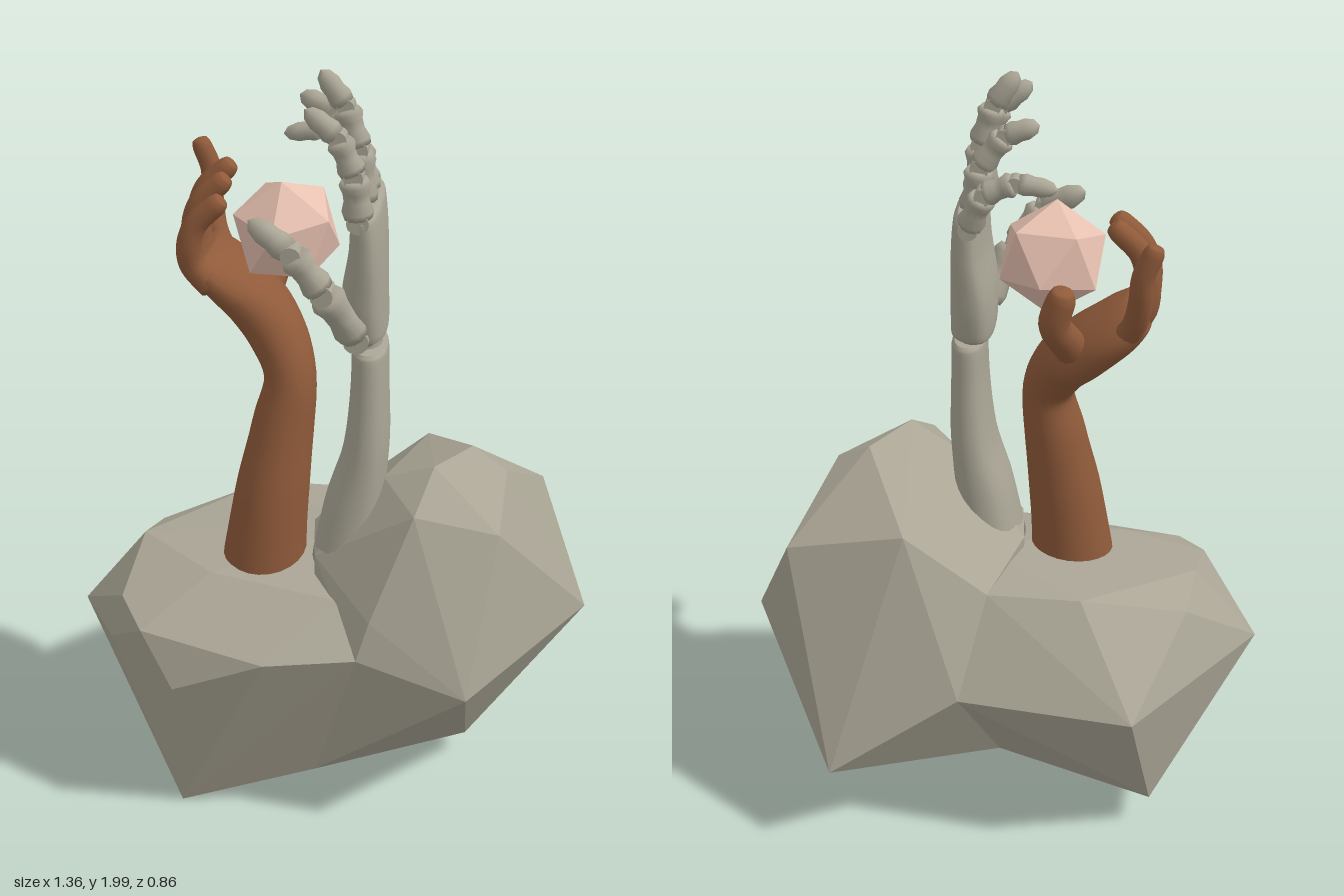
import * as THREE from 'three';
import { ConvexGeometry } from 'three/addons/geometries/ConvexGeometry.js';

const V = (p) => new THREE.Vector3(p[0], p[1], p[2]);
const stone = new THREE.MeshStandardMaterial({ color: 0xaaa595 });
const rockMat = new THREE.MeshStandardMaterial({ color: 0xaaa595, flatShading: true });
const skin = new THREE.MeshStandardMaterial({ color: 0x8f5a3a });
const pink = new THREE.MeshStandardMaterial({ color: 0xe6c0b0, flatShading: true });

function add(parent, name, geometry, material) {
  const mesh = new THREE.Mesh(geometry, material);
  mesh.name = name;
  parent.add(mesh);
  return mesh;
}

// Smooth skin over stations [x, y, z, thickness radius, width radius (along z)]; power < 1 squares the section
function loft(stations, sides = 16, power = 1) {
  const path = new THREE.CatmullRomCurve3(stations.map(V));
  const radii = new THREE.CatmullRomCurve3(stations.map((s) => V([s[3], s[4] ?? s[3], 0])), false, 'catmullrom', 0.35);
  const rings = (stations.length - 1) * 5;
  const pos = [], index = [];
  const bend = (v) => Math.sign(v) * Math.abs(v) ** power;
  for (let i = 0; i <= rings; i++) {
    const c = path.getPoint(i / rings), r = radii.getPoint(i / rings), t = path.getTangent(i / rings);
    const w = new THREE.Vector3(0, 0, 1).addScaledVector(t, -t.z).normalize();
    const u = w.clone().cross(t);
    for (let j = 0; j < sides; j++) {
      const a = (j / sides) * Math.PI * 2;
      const p = c.clone().addScaledVector(u, Math.max(r.x, 0.001) * bend(Math.cos(a)))
        .addScaledVector(w, Math.max(r.y, 0.001) * bend(Math.sin(a)));
      pos.push(p.x, p.y, p.z);
      if (i < rings) {
        const k = i * sides + j, n = i * sides + (j + 1) % sides;
        index.push(k, n, k + sides, n, n + sides, k + sides);
      }
    }
  }
  // end caps
  for (const [u, start] of [[0, 0], [1, rings * sides]]) {
    const c = path.getPoint(u), m = pos.length / 3;
    pos.push(c.x, c.y, c.z);
    for (let j = 0; j < sides; j++) {
      const k = start + j, n = start + (j + 1) % sides;
      if (u) index.push(m, k, n); else index.push(m, n, k);
    }
  }
  const g = new THREE.BufferGeometry();
  g.setAttribute('position', new THREE.Float32BufferAttribute(pos, 3));
  g.setIndex(index);
  g.computeVertexNormals();
  return g;
}

// Rounded finger along a path, tapering to a blunt tip
function softFinger(points, r) {
  const last = points.length - 1;
  const s = points.map((p, i) => [...p, r * (1 - 0.2 * i / last)]);
  const dir = V(points[last]).sub(V(points[last - 1])).normalize();
  for (const [d, k] of [[0.6, 0.6], [0.8, 0.05]]) {
    s.push([...V(points[last]).addScaledVector(dir, r * d).toArray(), r * k]);
  }
  return loft(s, 12);
}

// Jointed finger: a slightly waisted bone per span with a hinge pin between bones
function jointedFinger(parent, name, points, r) {
  const finger = new THREE.Group();
  finger.name = name;
  parent.add(finger);
  for (let i = 0; i < points.length - 1; i++) {
    const a = V(points[i]), b = V(points[i + 1]), dir = b.clone().sub(a), len = dir.length();
    const k = r * (1 - 0.12 * i), tip = i === points.length - 2;
    const profile = tip
      ? [[0, 0.06], [0.85, 0.08], [1, 0.25], [0.85, 0.45], [0.88, 0.65], [0.6, 0.9], [0, 1.03]]
      : [[0, 0.06], [0.9, 0.08], [1, 0.22], [0.8, 0.45], [0.82, 0.65], [1, 0.82], [0.8, 0.94], [0, 0.95]];
    const bone = add(finger, 'fingerBone', new THREE.LatheGeometry(
      profile.map(([x, y]) => new THREE.Vector2(x * k, y * len)), 12), stone);
    bone.position.copy(a);
    bone.quaternion.setFromUnitVectors(new THREE.Vector3(0, 1, 0), dir.normalize());
    const pin = add(finger, 'hingePin', new THREE.CylinderGeometry(k * 0.7, k * 0.7, k * 1.5, 12), stone);
    pin.position.copy(a);
    pin.rotation.x = Math.PI / 2;
  }
}

export function createModel() {
  const model = new THREE.Group();

  // Boulder: two faceted lumps sharing a ridge below and a saddle above
  const rock = new THREE.Group();
  rock.name = 'boulder';
  model.add(rock);
  const sharedRidge = [
    [-0.02, 0.12, 0.27], [0.0, 0.14, -0.12], [0.08, 0.48, -0.36], [0.10, 0.57, 0.395], [0.02, 0.72, -0.22],
  ];
  const leftLump = [
    [-0.38, 0.005, 0.30], [-0.42, 0.10, -0.23], [-0.68, 0.47, 0.04], [-0.37, 0.45, 0.405], [-0.37, 0.48, -0.41],
    [-0.575, 0.46, 0.20], [-0.53, 0.61, 0.23], [-0.46, 0.58, 0.34], [-0.51, 0.68, 0.02], [-0.49, 0.64, -0.12],
    [-0.30, 0.68, 0.20], [-0.22, 0.72, -0.22], [-0.13, 0.56, 0.43], [0.05, 0.67, 0.28], [0.06, 0.73, 0.0],
    [-0.15, 0.5, -0.36],
  ];
  const rightLump = [
    [0.37, 0.07, 0.0], [0.675, 0.51, -0.02], [0.38, 0.49, 0.42], [0.41, 0.27, -0.43], [0.545, 0.805, -0.19],
    [0.23, 0.89, -0.24], [0.27, 1.01, 0.16], [0.36, 1.0, 0.02], [0.45, 0.95, 0.05], [0.44, 0.87, 0.24],
    [0.23, 0.93, 0.28], [0.14, 0.95, 0.12], [-0.03, 0.74, 0.18], [-0.05, 0.75, 0.02], [0.13, 0.67, 0.37],
  ];
  add(rock, 'leftLump', new ConvexGeometry([...leftLump, ...sharedRidge].map(V)), rockMat);
  add(rock, 'rightLump', new ConvexGeometry([...rightLump, ...sharedRidge].map(V)), rockMat);

  // Soft arm with bent wrist and cupped palm
  const softArm = new THREE.Group();
  softArm.name = 'softArm';
  model.add(softArm);
  add(softArm, 'forearmAndPalm', loft([
    [-0.18, 0.62, 0.09, 0.113, 0.115], [-0.155, 0.85, 0.08, 0.097, 0.105], [-0.125, 1.05, 0.06, 0.08, 0.088],
    [-0.107, 1.19, 0.045, 0.066, 0.074], [-0.145, 1.285, 0.005, 0.074, 0.088], [-0.21, 1.36, -0.04, 0.07, 0.125],
    [-0.285, 1.425, -0.055, 0.06, 0.138], [-0.335, 1.47, -0.055, 0.042, 0.125], [-0.35, 1.487, -0.055, 0.004, 0.07],
  ], 24), skin);
  for (const [z0, z1, lift] of [[0.045, 0.068, -0.03], [-0.015, -0.005, 0], [-0.08, -0.085, 0.01]]) {
    add(softArm, 'curledFinger', softFinger([
      [-0.30, 1.42, z0], [-0.345, 1.48, (z0 + z1) / 2], [-0.35, 1.56 + lift, z1],
      [-0.33, 1.62 + lift, z1], [-0.28, 1.67 + lift, z1],
    ], 0.034), skin);
  }
  add(softArm, 'straightFinger', softFinger([
    [-0.28, 1.41, -0.13], [-0.325, 1.48, -0.175], [-0.34, 1.56, -0.21], [-0.345, 1.63, -0.225], [-0.365, 1.685, -0.225],
  ], 0.032), skin);
  add(softArm, 'thumb', softFinger([
    [-0.19, 1.35, -0.08], [-0.165, 1.42, -0.15], [-0.14, 1.485, -0.195], [-0.155, 1.55, -0.205],
  ], 0.044), skin);

  // Faceted ball held between the hands
  const ball = add(model, 'facetedBall', new THREE.IcosahedronGeometry(0.14, 0), pink);
  ball.position.set(-0.115, 1.565, 0.015);
  ball.rotation.set(0.25, 0.2, 0.6);

  // Jointed arm: forearm, wrist peg and flat palm
  const jointedArm = new THREE.Group();
  jointedArm.name = 'jointedArm';
  model.add(jointedArm);
  add(jointedArm, 'forearm', loft([
    [0.045, 0.7, 0.09, 0.09, 0.125], [0.062, 0.85, 0.09, 0.077, 0.115], [0.092, 1.02, 0.09, 0.058, 0.108],
    [0.1, 1.2, 0.09, 0.047, 0.1], [0.1, 1.3, 0.088, 0.044, 0.098], [0.1, 1.315, 0.088, 0.036, 0.09],
  ], 24, 0.85), stone);
  const peg = add(jointedArm, 'wristPeg', new THREE.CylinderGeometry(0.035, 0.035, 0.09, 16), stone);
  peg.position.set(0.095, 1.33, 0.09);
  peg.scale.z = 1.5;
  add(jointedArm, 'palm', loft([
    [0.09, 1.325, 0.075, 0.03, 0.08], [0.087, 1.345, 0.075, 0.054, 0.108], [0.085, 1.45, 0.075, 0.054, 0.132],
    [0.092, 1.57, 0.075, 0.043, 0.147], [0.09, 1.665, 0.075, 0.036, 0.155], [0.088, 1.685, 0.075, 0.024, 0.145],
  ], 28, 0.72), stone);

  // Fingers and thumb of the jointed hand
  jointedFinger(jointedArm, 'indexFinger', [[0.08, 1.67, 0.2], [0.07, 1.78, 0.21], [0.035, 1.87, 0.215], [-0.04, 1.932, 0.215]], 0.038);
  jointedFinger(jointedArm, 'middleFinger', [[0.08, 1.675, 0.11], [0.07, 1.81, 0.108], [0.04, 1.91, 0.105], [-0.018, 1.99, 0.105]], 0.039);
  jointedFinger(jointedArm, 'ringFinger', [[0.08, 1.67, 0.02], [0.06, 1.79, 0.012], [0.0, 1.87, 0.007], [-0.08, 1.9, 0.0]], 0.038);
  jointedFinger(jointedArm, 'littleFinger', [[0.08, 1.66, -0.055], [0.04, 1.755, -0.082], [-0.035, 1.79, -0.088], [-0.132, 1.775, -0.085]], 0.035);
  jointedFinger(jointedArm, 'thumb', [[0.075, 1.36, 0.17], [0.0, 1.5, 0.235], [-0.07, 1.6, 0.25], [-0.175, 1.66, 0.21]], 0.045);

  return model;
}
